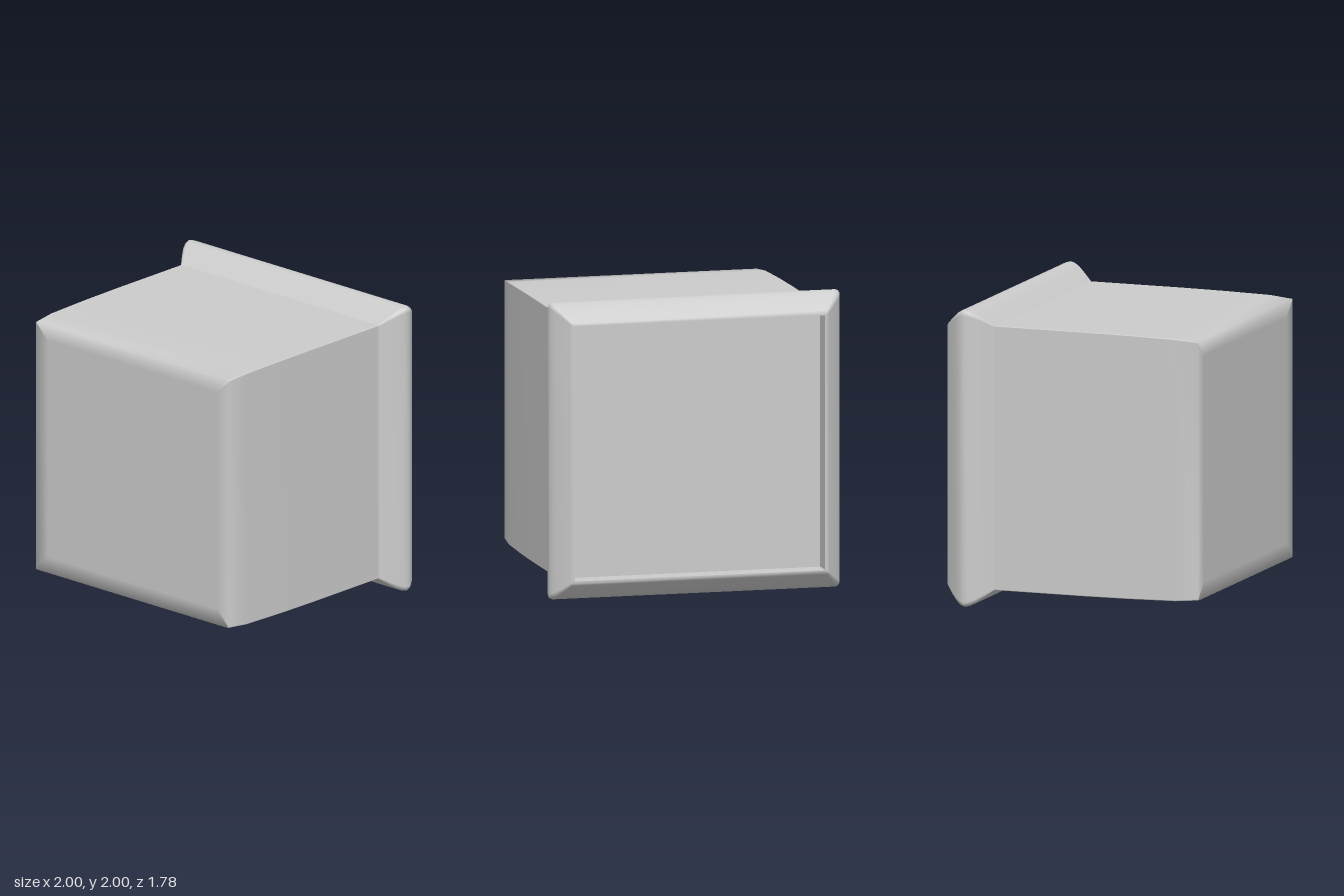
import * as THREE from 'three';

const CENTER_Y = 1;
const CORNER_STEPS = 4;

// Points of a rounded square, counter-clockwise seen from +z
function squareRing(half, z, radius) {
  const r = Math.min(radius, half);
  const points = [];
  for (let corner = 0; corner < 4; corner++) {
    const mid = Math.PI / 4 + corner * Math.PI / 2;
    const cx = Math.sign(Math.cos(mid)) * (half - r);
    const cy = Math.sign(Math.sin(mid)) * (half - r);
    for (let s = 0; s <= CORNER_STEPS; s++) {
      const a = corner * Math.PI / 2 + (s / CORNER_STEPS) * Math.PI / 2;
      points.push([cx + r * Math.cos(a), CENTER_Y + cy + r * Math.sin(a), z]);
    }
  }
  return points;
}

// Smooth skin through square rings given as [half width, z, corner radius]
function loft(name, rings, material) {
  const n = 4 * (CORNER_STEPS + 1);
  const positions = rings.flatMap(([half, z, r]) => squareRing(half, z, r).flat());
  const index = [];
  for (let i = 0; i < rings.length - 1; i++) {
    for (let j = 0; j < n; j++) {
      const a = i * n + j;
      const b = i * n + (j + 1) % n;
      index.push(a, b, b + n, a, b + n, a + n);
    }
  }
  const geometry = new THREE.BufferGeometry();
  geometry.setAttribute('position', new THREE.Float32BufferAttribute(positions, 3));
  geometry.setIndex(index);
  geometry.computeVertexNormals();
  const mesh = new THREE.Mesh(geometry, material);
  mesh.name = name;
  return mesh;
}

export function createModel() {
  const group = new THREE.Group();
  group.name = 'squareKeyBlock';
  const material = new THREE.MeshStandardMaterial({ color: 0xcccccc });

  // Box body, tapering slightly to a softly shaded front face
  group.add(loft('body', [
    [0.89, -0.6, 0.006],
    [0.89, 0.1, 0.006],
    [0.888, 0.4, 0.006],
    [0.883, 0.73, 0.008],
    [0.87, 0.89, 0.01],
    [0.76, 0.89, 0.01],
    [0, 0.89, 0],
  ], material));

  // Bulging rim around the back, ending in a narrow lip
  group.add(loft('rim', [
    [0.857, -0.89, 0.005],
    [0.873, -0.89, 0.01],
    [0.888, -0.878, 0.015],
    [0.93, -0.835, 0.02],
    [0.97, -0.79, 0.03],
    [0.992, -0.755, 0.035],
    [1.0, -0.725, 0.035],
    [0.993, -0.695, 0.035],
    [0.972, -0.655, 0.03],
    [0.935, -0.605, 0.02],
    [0.888, -0.545, 0.008],
  ], material));

  // Shallow recess in the back
  group.add(loft('recessWall', [
    [0.857, -0.75, 0.005],
    [0.857, -0.89, 0.005],
  ], material));
  group.add(loft('recessFloor', [
    [0, -0.75, 0],
    [0.857, -0.75, 0.005],
  ], material));

  return group;
}
